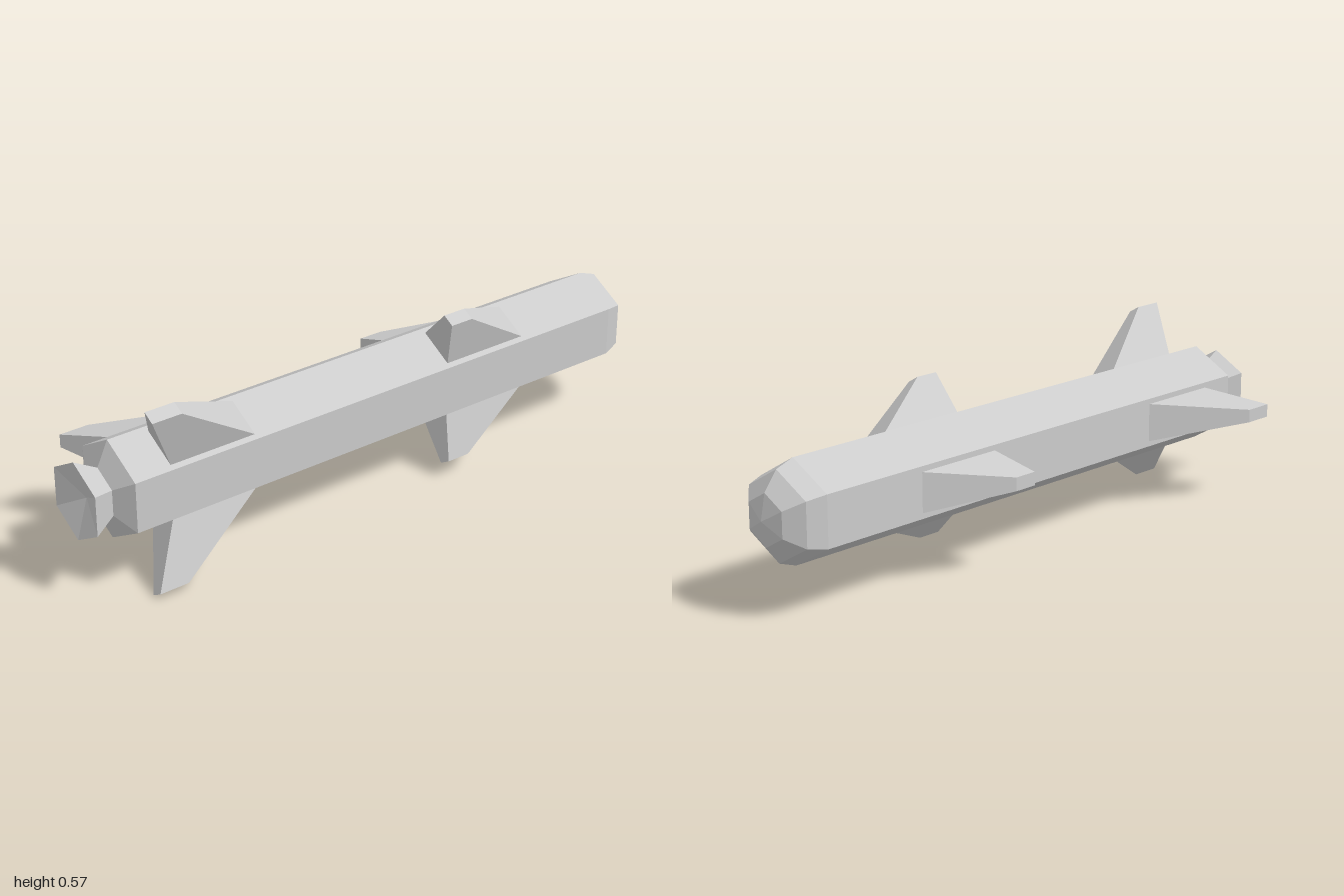
import * as THREE from 'three';

const RADIUS = 0.155;
const APOTHEM = RADIUS * Math.cos(Math.PI / 6);

const material = new THREE.MeshStandardMaterial({ color: 0xcccccc, flatShading: true });

// Six-sided part turned about the long axis; profile points are [radius, z], from tail to nose
function hexPart(name, profile) {
  const points = profile.map(([r, z]) => new THREE.Vector2(r, -z));
  const geometry = new THREE.LatheGeometry(points, 6).rotateX(-Math.PI / 2);
  const mesh = new THREE.Mesh(geometry, material);
  mesh.name = name;
  return mesh;
}

// Swept fin: a box tapering from a thick root to a thin tip, pointing along +x
function finGeometry({ span, root, tip }) {
  const geometry = new THREE.BoxGeometry(1, 1, 1);
  const p = geometry.attributes.position;
  for (let i = 0; i < p.count; i++) {
    const atTip = p.getX(i) > 0;
    const [fore, aft] = atTip ? tip : root;
    const half = atTip ? 0.0205 : 0.061;
    p.setXYZ(i, atTip ? span : APOTHEM - 0.002, Math.sign(p.getY(i)) * half, p.getZ(i) > 0 ? aft : fore);
  }
  return geometry;
}

export function createModel() {
  const model = new THREE.Group();
  model.name = 'missile';
  model.position.set(0.07, 0.288, 0);

  // Body with a chamfered tail
  model.add(hexPart('body', [[0.08, 0.925], [RADIUS, 0.89], [RADIUS, -0.88]]));

  // Rounded nose
  const dome = [];
  for (let i = 0; i <= 3; i++) {
    const a = (i * Math.PI) / 6;
    dome.push([i === 3 ? 0 : RADIUS * Math.cos(a), -0.88 - 0.12 * Math.sin(a)]);
  }
  model.add(hexPart('nose', dome));

  // Flared nozzle with a shallow recess
  model.add(hexPart('nozzle', [[0, 0.965], [0.1225, 1], [0.08, 0.925]]));

  // Two rings of three fins
  const rings = {
    frontFin: { span: 0.275, root: [-0.525, -0.225], tip: [-0.285, -0.208] },
    rearFin: { span: 0.32, root: [0.48, 0.765], tip: [0.76, 0.855] },
  };
  for (const [name, shape] of Object.entries(rings)) {
    const geometry = finGeometry(shape);
    for (let i = 0; i < 3; i++) {
      const fin = new THREE.Mesh(geometry, material);
      fin.name = name;
      fin.rotation.z = Math.PI + (i * Math.PI * 2) / 3;
      model.add(fin);
    }
  }

  const group = new THREE.Group();
  group.add(model);
  return group;
}
